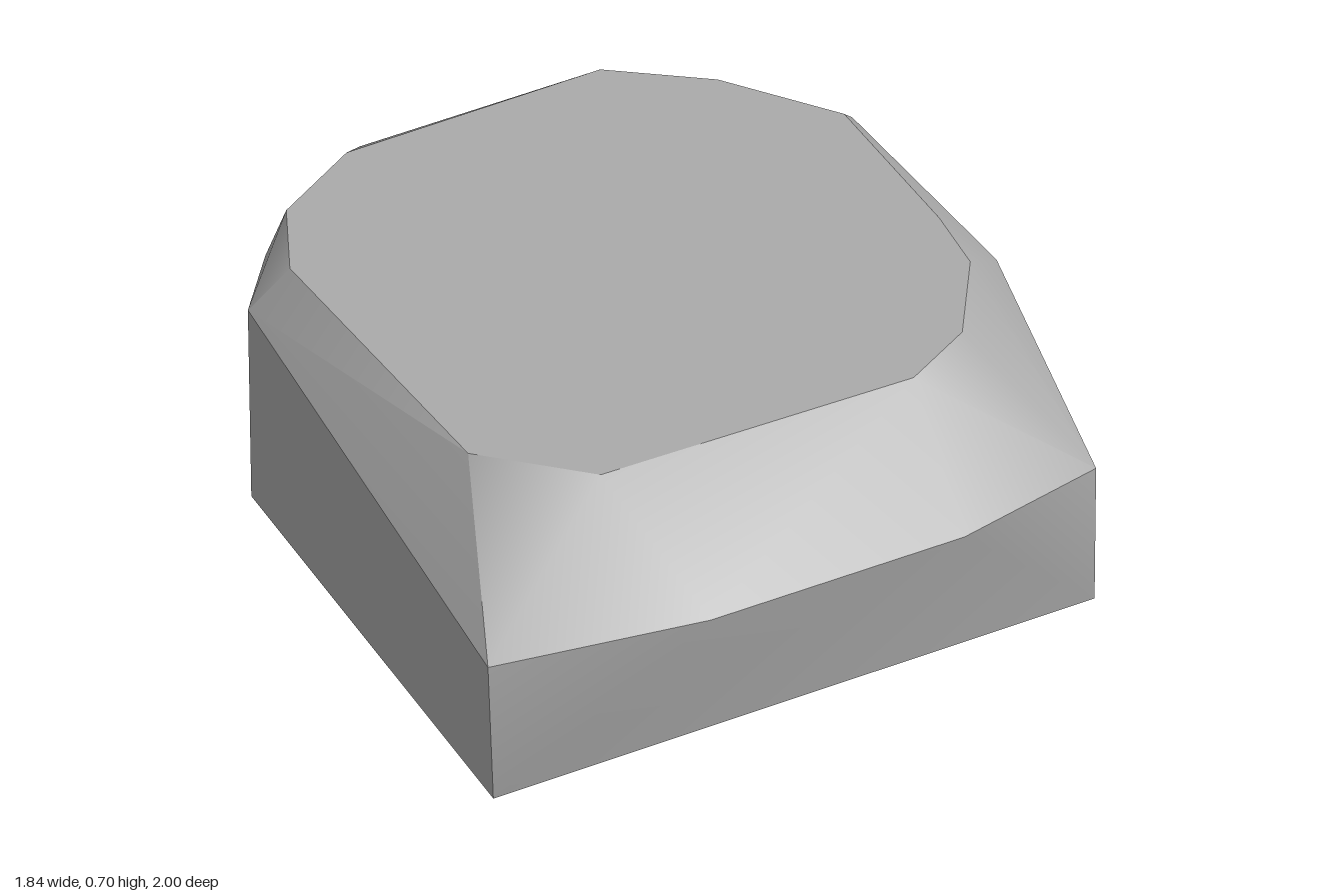
import * as THREE from 'three';
import { ConvexGeometry } from 'three/addons/geometries/ConvexGeometry.js';
import { toCreasedNormals } from 'three/addons/utils/BufferGeometryUtils.js';

export function createModel() {
  const stone = new THREE.MeshStandardMaterial({ color: 0xaaaaaa });
  stone.name = 'stone grey';

  // flat underside, rising slightly towards the back
  const base = [
    [-0.91, 0, 0.88], [0.82, 0.01, 0.88], [0.92, 0.03, 0.2], [0.9, 0.03, -0.38],
    [0.76, 0.03, -0.6], [0.51, 0.03, -0.84], [0.3, 0.03, -0.98], [-0.27, 0.02, -1],
    [-0.46, 0.02, -0.88], [-0.84, 0.01, -0.52],
  ];
  // rim where the walls meet the bevel
  const rim = [
    [-0.92, 0.41, 0.87], [-0.35, 0.44, 1], [0.38, 0.44, 1], [0.83, 0.41, 0.87],
    [0.91, 0.6, 0.2], [0.84, 0.66, -0.43], [0.63, 0.64, -0.7], [0.36, 0.63, -0.92],
    [-0.27, 0.6, -0.99], [-0.63, 0.49, -0.83], [-0.85, 0.6, -0.52],
  ];
  // outline of the level top
  const top = [
    [-0.47, 0.64], [0.42, 0.66], [0.62, 0.55], [0.78, 0.3], [0.8, 0.1], [0.8, -0.4],
    [0.59, -0.68], [0.35, -0.86], [-0.38, -0.86], [-0.63, -0.72], [-0.74, -0.5], [-0.72, 0.4],
  ].map(([x, z]) => [x, 0.705, z]);

  const points = [...base, ...rim, ...top].map((p) => new THREE.Vector3(...p));
  const boulder = new THREE.Mesh(toCreasedNormals(new ConvexGeometry(points), 0.55), stone);
  boulder.name = 'boulder';

  const group = new THREE.Group();
  group.name = 'rock';
  group.add(boulder);
  return group;
}
